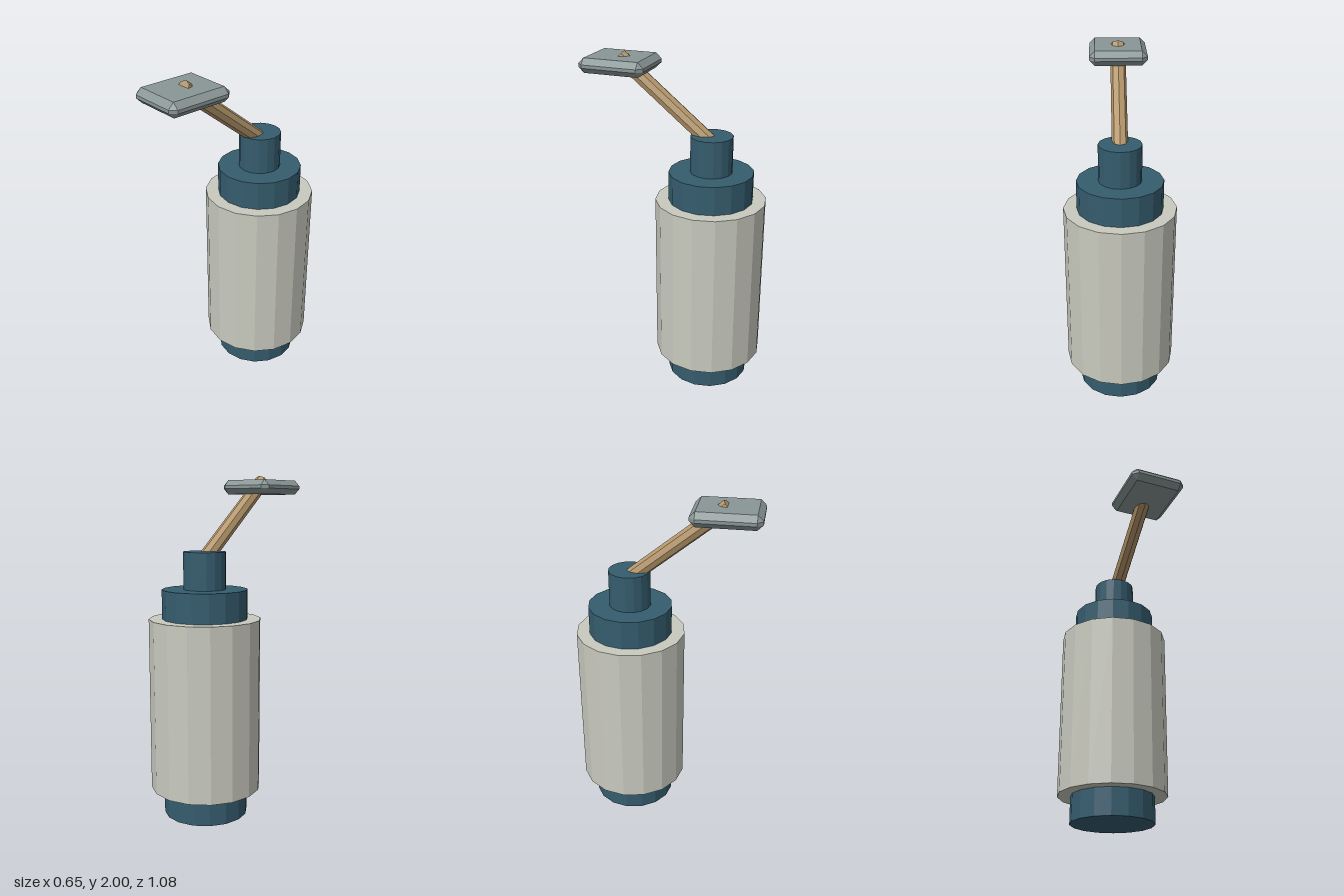
import * as THREE from 'three';
import { ConvexGeometry } from 'three/addons/geometries/ConvexGeometry.js';

function material(name, color) {
  const m = new THREE.MeshStandardMaterial({ color, flatShading: true });
  m.name = name;
  return m;
}

// Box with every edge and corner cut by the same amount
function chamferedBox(w, h, d, cut) {
  const half = [w / 2, h / 2, d / 2];
  const points = [];
  for (const sx of [-1, 1]) for (const sy of [-1, 1]) for (const sz of [-1, 1]) {
    const s = [sx, sy, sz];
    for (let outer = 0; outer < 3; outer++) {
      points.push(new THREE.Vector3(...half.map((v, i) => s[i] * (i === outer ? v : v - cut))));
    }
  }
  return new ConvexGeometry(points);
}

export function createModel() {
  const model = new THREE.Group();
  model.name = 'pumpBottle';
  const cream = material('warm grey', 0xc8c9be);
  const blue = material('deep blue', 0x355c6e);
  const steel = material('steel grey', 0x8a9696);
  const wood = material('tan', 0xb4966b);

  const add = (name, geometry, mat, x, y, z) => {
    const mesh = new THREE.Mesh(geometry, mat);
    mesh.name = name;
    mesh.position.set(x, y, z);
    model.add(mesh);
    return mesh;
  };

  // Stacked sixteen-sided drums: name, radius, bottom, top, colour
  const axisZ = -0.215;
  const drums = [
    ['base', 0.248, 0, 0.16, blue],
    ['body', 0.325, 0.16, 1.175, cream],
    ['collar', 0.248, 1.175, 1.345, blue],
    ['neck', 0.123, 1.345, 1.56, blue],
  ];
  for (const [name, r, y0, y1, mat] of drums) {
    add(name, new THREE.CylinderGeometry(r, r, y1 - y0, 16), mat, 0, (y0 + y1) / 2, axisZ);
  }

  // Slanted octagonal arm running from the neck through the plate
  const from = new THREE.Vector3(0, 1.515, axisZ);
  const to = new THREE.Vector3(0, 1.965, 0.342);
  const mid = from.clone().add(to).multiplyScalar(0.5);
  const arm = add('arm', new THREE.CylinderGeometry(0.045, 0.045, from.distanceTo(to), 8), wood, mid.x, mid.y, mid.z);
  arm.rotation.x = Math.atan2(to.z - from.z, to.y - from.y);

  // Bevelled plate at the end of the arm
  add('plate', chamferedBox(0.338, 0.085, 0.395, 0.033), steel, 0, 1.93, 0.34);

  return model;
}
